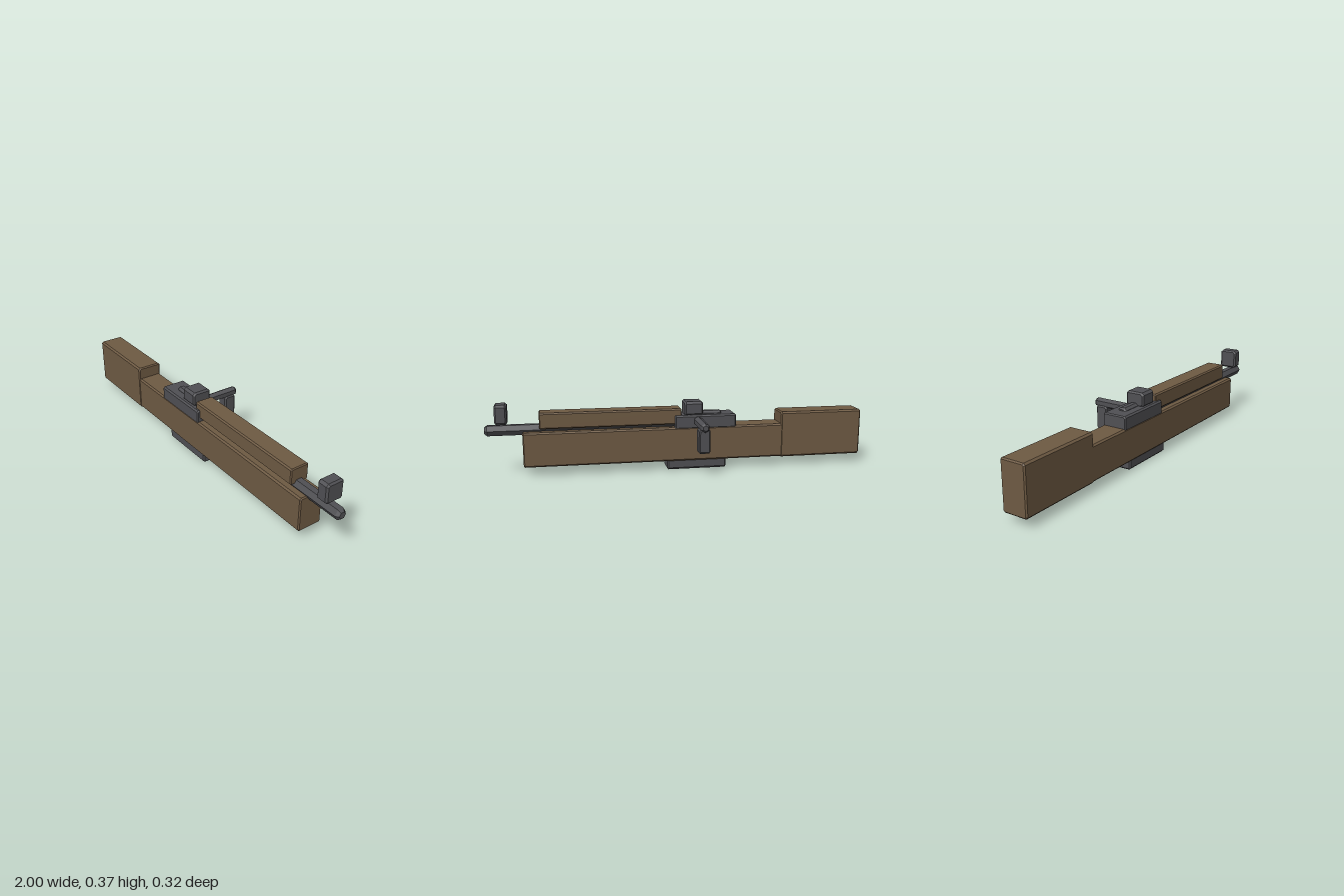
import * as THREE from 'three';

const wood = new THREE.MeshStandardMaterial({ color: 0x6e5a43, flatShading: true });
const steel = new THREE.MeshStandardMaterial({ color: 0x505054, flatShading: true });

// Box given by its x, y and z ranges, with all edges chamfered by c
function chamferBox(name, material, [x0, x1], [y0, y1], [z0, z1], c) {
  const w = (z1 - z0) / 2, h = (y1 - y0) / 2;
  const outline = new THREE.Shape([
    [w - c, -h], [w, c - h], [w, h - c], [w - c, h],
    [c - w, h], [-w, h - c], [-w, c - h], [c - w, -h],
  ].map(([x, y]) => new THREE.Vector2(x, y)));
  const b = c * 0.7;
  const geometry = new THREE.ExtrudeGeometry(outline, {
    depth: x1 - x0 - 2 * b, bevelEnabled: true, bevelSegments: 1,
    bevelThickness: b, bevelSize: b, bevelOffset: -b,
  });
  geometry.center().rotateY(Math.PI / 2);
  const mesh = new THREE.Mesh(geometry, material);
  mesh.name = name;
  mesh.position.set((x0 + x1) / 2, (y0 + y1) / 2, (z0 + z1) / 2);
  return mesh;
}

// Faceted rod along +y from the origin, with bevelled ends
function rod(name, radius, length, sides) {
  const profile = [
    [0, 0], [radius * 0.7, 0], [radius, radius * 0.4],
    [radius, length - radius * 0.5], [radius * 0.6, length], [0, length],
  ].map(([x, y]) => new THREE.Vector2(x, y));
  const mesh = new THREE.Mesh(new THREE.LatheGeometry(profile, sides), steel);
  mesh.name = name;
  return mesh;
}

export function createModel() {
  const model = new THREE.Group();
  model.name = 'boltActionRifle';

  // Wooden furniture
  model.add(
    chamferBox('stock', wood, [-0.6, 0.81], [0.048, 0.228], [0.031, 0.16], 0.008),
    chamferBox('butt', wood, [-1, -0.55], [0.045, 0.292], [0.029, 0.163], 0.009),
    chamferBox('handguard', wood, [-0.01, 0.725], [0.242, 0.326], [0.045, 0.145], 0.007),
  );

  // Receiver, magazine and sights
  model.add(
    chamferBox('receiver', steel, [-0.3, 0.027], [0.217, 0.291], [0.031, 0.161], 0.008),
    chamferBox('boltBody', steel, [-0.23, -0.03], [0.25, 0.305], [0.068, 0.115], 0.012),
    chamferBox('magazine', steel, [-0.25, 0.067], [0, 0.06], [0.039, 0.153], 0.01),
    chamferBox('rearSight', steel, [-0.125, -0.027], [0.285, 0.36], [0.043, 0.146], 0.012),
    chamferBox('frontSight', steel, [0.883, 0.945], [0.27, 0.372], [0.047, 0.143], 0.012),
  );

  // Barrel along x
  const barrel = rod('barrel', 0.03, 1.05, 6);
  barrel.rotation.z = -Math.PI / 2;
  barrel.position.set(-0.05, 0.236, 0.098);
  model.add(barrel);

  // Bolt handle reaching out to -z, with its grip hanging down
  const handle = new THREE.Group();
  handle.name = 'boltHandle';
  const arm = rod('boltArm', 0.024, 0.222, 6);
  arm.rotation.x = -Math.PI / 2;
  arm.position.set(-0.095, 0.26, 0.06);
  handle.add(
    arm,
    chamferBox('boltGrip', steel, [-0.124, -0.066], [0.124, 0.25], [-0.143, -0.079], 0.009),
  );
  model.add(handle);

  return model;
}
